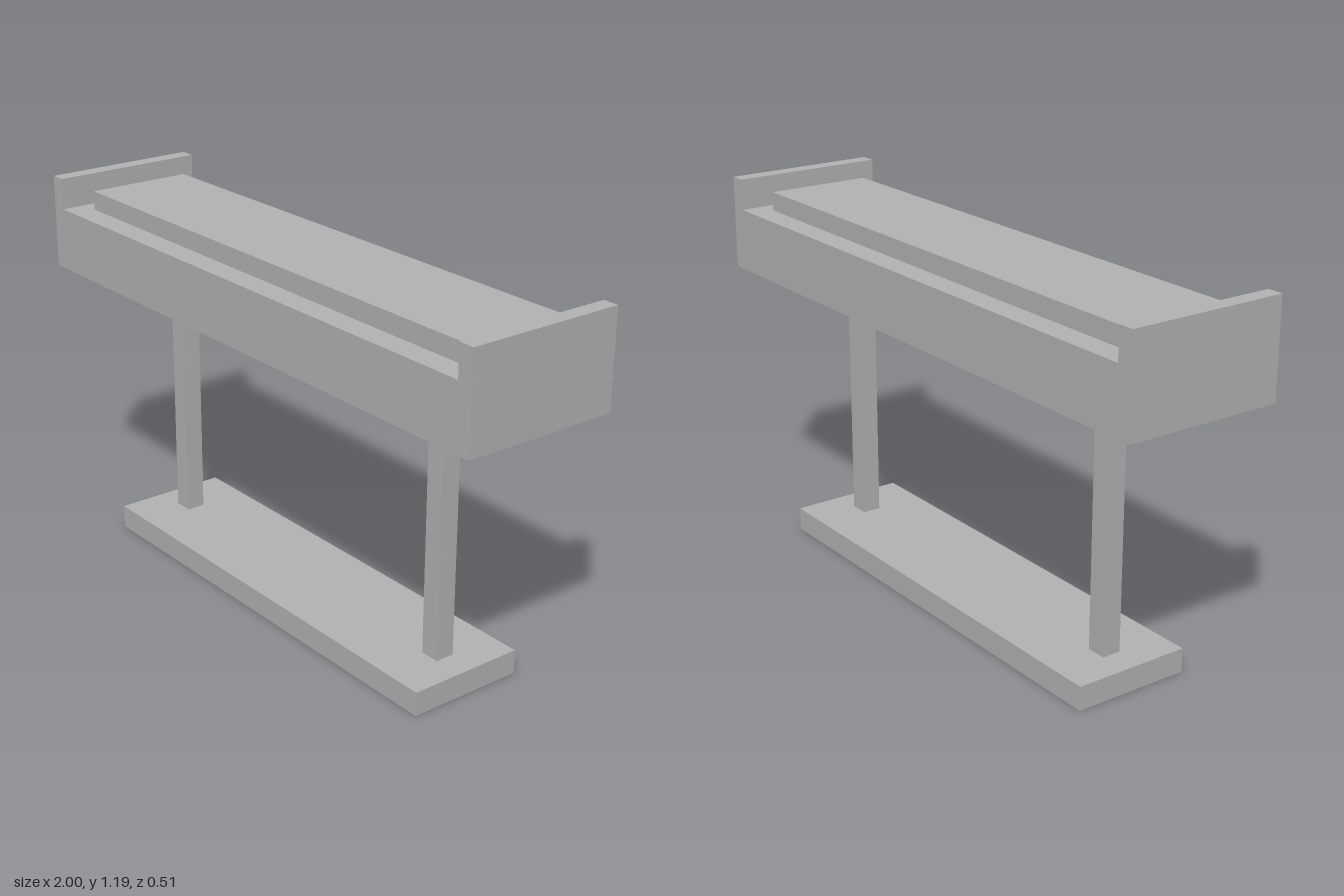
import * as THREE from 'three';

export function createModel() {
  const model = new THREE.Group();
  model.name = 'keyboardOnStand';
  const grey = new THREE.MeshStandardMaterial({ color: 0xb4b4b4 });
  grey.name = 'plain grey';

  // Box given by its size, centre x and bottom height
  function box(name, width, height, depth, x, bottom) {
    const mesh = new THREE.Mesh(new THREE.BoxGeometry(width, height, depth), grey);
    mesh.name = name;
    mesh.position.set(x, bottom + height / 2, 0);
    model.add(mesh);
  }

  // Foot plate and the two posts
  box('footPlate', 1.516, 0.076, 0.381, 0, 0);
  for (const side of [-1, 1]) {
    box(side > 0 ? 'leftPost' : 'rightPost', 0.064, 0.814, 0.061, side * 0.633, 0.076);
  }

  // Body with raised end cheeks, one continuous profile
  const bottom = 0.89, deck = 1.092, top = 1.193, depth = 0.508;
  const profile = new THREE.Shape([
    [-1, bottom], [1, bottom], [1, top], [0.949, top],
    [0.949, deck], [-0.949, deck], [-0.949, top], [-1, top],
  ].map(([x, y]) => new THREE.Vector2(x, y)));
  const bodyGeometry = new THREE.ExtrudeGeometry(profile, { depth, bevelEnabled: false });
  bodyGeometry.translate(0, 0, -depth / 2);
  const body = new THREE.Mesh(bodyGeometry, grey);
  body.name = 'body';
  model.add(body);

  // Raised slab on the deck
  box('deckSlab', 1.77, 0.061, 0.35, 0, deck);

  return model;
}
